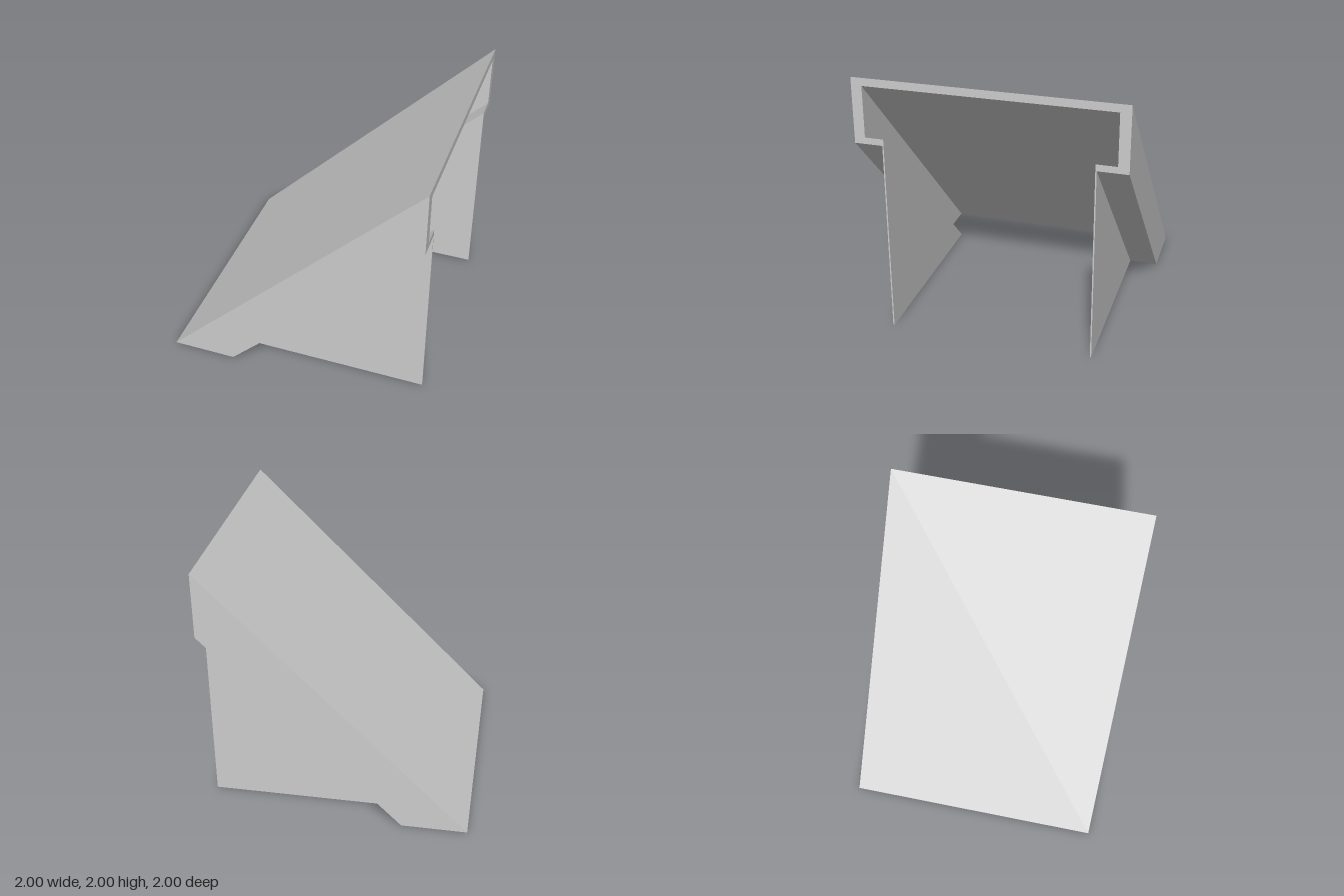
import * as THREE from 'three';

const material = new THREE.MeshStandardMaterial({ color: 0xcccccc, flatShading: true });

// Sweeps an upright (z, y) section at x = 1 down the 45 degree slope until it meets the ground.
function slopeSweep(section, name) {
  const shape = new THREE.Shape(section.map(([z, y]) => new THREE.Vector2(z, y)));
  const geometry = new THREE.ExtrudeGeometry(shape, { depth: 1, bevelEnabled: false });
  const p = geometry.attributes.position;
  for (let i = 0; i < p.count; i++) {
    const z = p.getX(i), y = p.getY(i), t = p.getZ(i);
    p.setXYZ(i, 1 - y * t, y * (1 - t), z);
  }
  geometry.computeVertexNormals();
  const mesh = new THREE.Mesh(geometry, material);
  mesh.name = name;
  return mesh;
}

// Thin triangular wall standing under a lip of the channel.
function fin(zMin, zMax, name) {
  const top = 1.55;
  const shape = new THREE.Shape([
    new THREE.Vector2(1 - top, 0),
    new THREE.Vector2(1, 0),
    new THREE.Vector2(1, top),
  ]);
  const geometry = new THREE.ExtrudeGeometry(shape, { depth: zMax - zMin, bevelEnabled: false });
  const mesh = new THREE.Mesh(geometry, material);
  mesh.position.z = zMin;
  mesh.name = name;
  return mesh;
}

export function createModel() {
  const model = new THREE.Group();
  model.name = 'slopedChannel';

  // Sloped panel with side flanges and inward lips
  model.add(slopeSweep([
    [-1, 1.5], [-0.77, 1.5], [-0.77, 1.55], [-0.92, 1.55], [-0.92, 1.94],
    [0.92, 1.94], [0.92, 1.55], [0.785, 1.55], [0.785, 1.5], [1, 1.5],
    [1, 2], [-1, 2],
  ], 'slopedPanel'));

  // Supporting walls
  model.add(fin(0.78, 0.79, 'frontFin'));
  model.add(fin(-0.775, -0.765, 'backFin'));

  return model;
}
